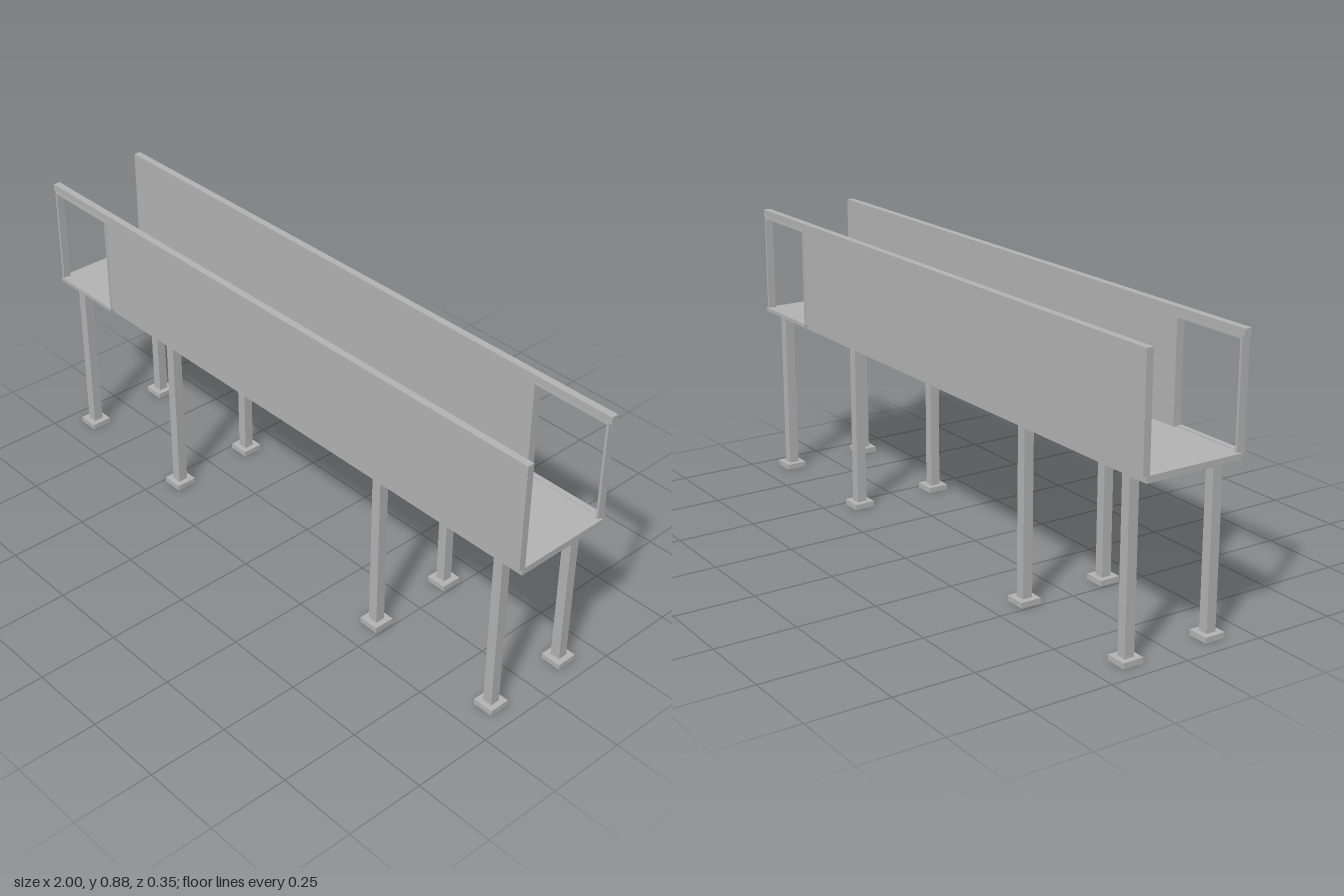
import * as THREE from 'three';

const grey = new THREE.MeshStandardMaterial({ color: 0xb3b3b3 });
grey.name = 'plain grey';

// Box given by its extents on each axis
function block(name, [x0, x1], [y0, y1], [z0, z1]) {
  const mesh = new THREE.Mesh(new THREE.BoxGeometry(x1 - x0, y1 - y0, z1 - z0), grey);
  mesh.position.set((x0 + x1) / 2, (y0 + y1) / 2, (z0 + z1) / 2);
  mesh.name = name;
  return mesh;
}

// Parapet with an open gateway at its -x end
function makeSide(name) {
  const side = new THREE.Group();
  side.name = name;
  const wallZ = [0.147, 0.169], frameZ = [0.146, 0.171];
  side.add(
    block('wallPanel', [-0.73, 1], [0.543, 0.853], wallZ),
    block('topRail', [-1, 1], [0.853, 0.875], wallZ),
    block('gatePostOuter', [-0.992, -0.984], [0.543, 0.853], frameZ),
    block('gatePostInner', [-0.738, -0.73], [0.543, 0.853], frameZ),
    block('gateHeader', [-0.984, -0.738], [0.846, 0.853], frameZ),
    block('gateSill', [-0.992, -0.73], [0.533, 0.545], [0.157, 0.175])
  );
  return side;
}

// Square post on a base plate
function makeLeg(x, z) {
  const leg = new THREE.Group();
  leg.name = 'leg';
  leg.add(
    block('post', [-0.0155, 0.0155], [0.017, 0.523], [-0.0155, 0.0155]),
    block('basePlate', [-0.033, 0.033], [0, 0.017], [-0.033, 0.033])
  );
  leg.position.set(x, 0, z);
  return leg;
}

export function createModel() {
  const model = new THREE.Group();
  model.name = 'raisedWalkway';

  model.add(block('deck', [-1, 1], [0.523, 0.543], [-0.157, 0.157]));

  // The back parapet is the front one turned half round
  const back = makeSide('backParapet');
  back.rotation.y = Math.PI;
  model.add(makeSide('frontParapet'), back);

  for (const x of [-0.915, -0.458, 0.458, 0.915]) {
    for (const z of [-0.139, 0.139]) model.add(makeLeg(x, z));
  }
  return model;
}
